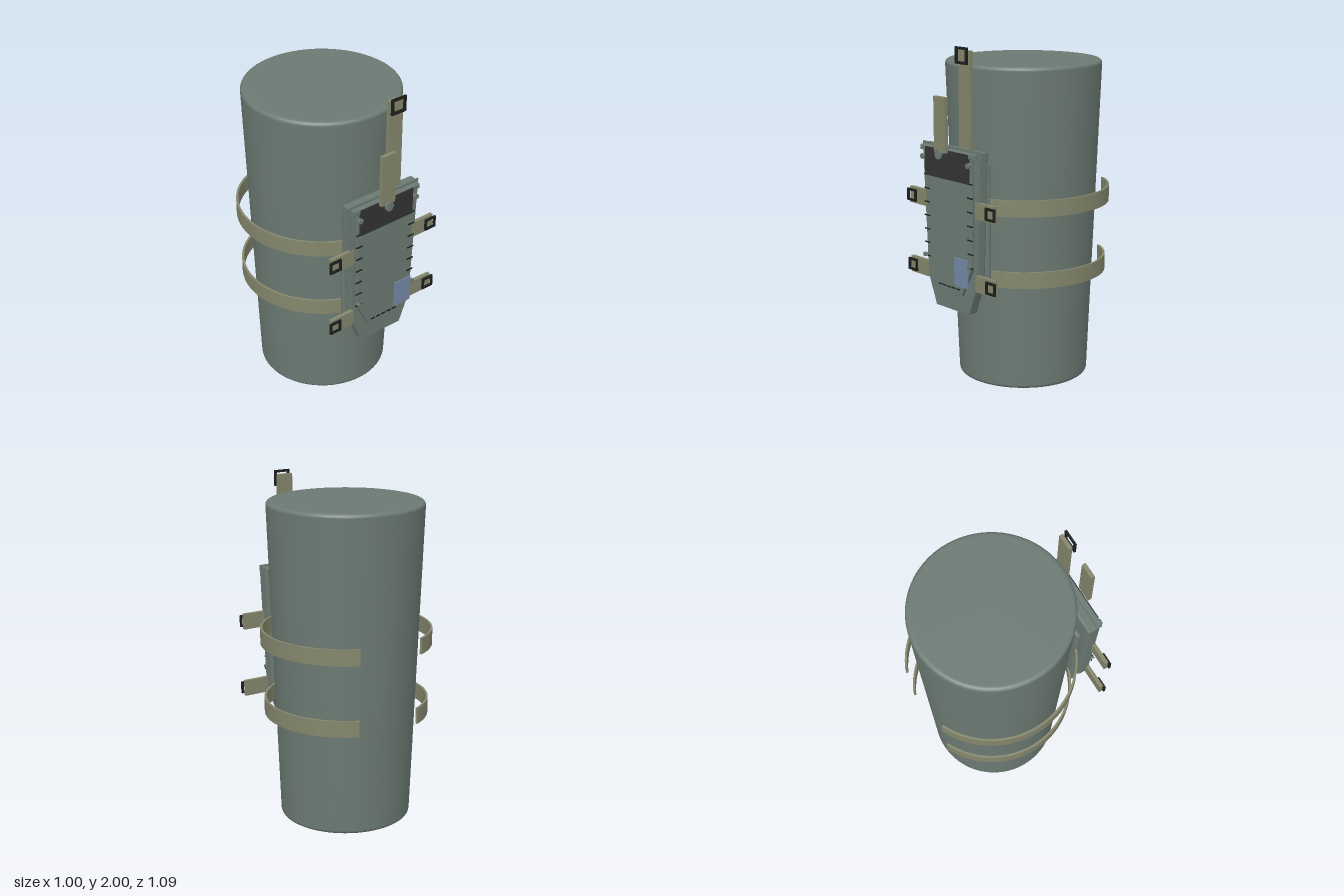
import * as THREE from 'three';

const mat = (name, color) => new THREE.MeshStandardMaterial({ name, color });

export function createModel() {
  const root = new THREE.Group();
  root.name = 'strappedContainer';
  const fabric = mat('greyGreen', 0x6c7a73);
  const webbing = mat('oliveWebbing', 0x84866c);
  const dark = mat('charcoal', 0x333333);
  const black = mat('black', 0x1c1e1c);
  const blue = mat('slateBlue', 0x7488a4);

  const add = (name, geo, material, x = 0, y = 0, z = 0) => {
    const m = new THREE.Mesh(geo, material);
    m.name = name;
    m.position.set(x, y, z);
    root.add(m);
    return m;
  };
  // Box given by its extents
  const box = (name, material, x0, x1, y0, y1, z0, z1) =>
    add(name, new THREE.BoxGeometry(x1 - x0, y1 - y0, z1 - z0), material,
      (x0 + x1) / 2, (y0 + y1) / 2, (z0 + z1) / 2);
  // Outline symmetric about x = 0, extruded from z0 to z1 with softened edges
  const plate = (name, half, z0, z1, bevel) => {
    const pts = [...half, ...half.map(([x, y]) => [-x, y]).reverse()];
    const shape = new THREE.Shape(pts.map(([x, y]) => new THREE.Vector2(x, y)));
    const geo = new THREE.ExtrudeGeometry(shape, {
      depth: z1 - z0 - 2 * bevel, bevelThickness: bevel, bevelSize: bevel,
      bevelOffset: -bevel, bevelSegments: 2,
    });
    return add(name, geo, fabric, 0, 0, z0 + bevel);
  };
  const rect = (w, h, Type = THREE.Shape) => new Type([
    [-w, -h], [w, -h], [w, h], [-w, h]].map(([x, y]) => new THREE.Vector2(x, y)));
  // Open rectangular buckle
  const buckle = (name, x, y, z, w, h, bar) => {
    const shape = rect(w / 2, h / 2);
    shape.holes.push(rect(w / 2 - bar, h / 2 - bar, THREE.Path));
    add(name, new THREE.ExtrudeGeometry(shape, { depth: 0.012, bevelEnabled: false }), black, x, y, z);
  };
  const disc = (name, x, y, z, r, depth, material = fabric) => {
    const geo = new THREE.CylinderGeometry(r, r, depth, 16);
    geo.rotateX(Math.PI / 2);
    add(name, geo, material, x, y, z);
  };

  // Tapered body with rounded rims
  const r0 = 0.385, r1 = 0.454, y0 = 0.005, y1 = 1.89, c = 0.022;
  const profile = [[0, y0], [r0 - c - 0.01, y0]];
  for (let i = 0; i <= 4; i++) {
    const a = (i / 4) * Math.PI / 2;
    profile.push([r0 - c + c * Math.sin(a), y0 + c - c * Math.cos(a)]);
  }
  for (let i = 0; i <= 4; i++) {
    const a = (i / 4) * Math.PI / 2;
    profile.push([r1 - c + c * Math.cos(a), y1 - c + c * Math.sin(a)]);
  }
  profile.push([r1 - c - 0.01, y1], [0, y1]);
  add('body', new THREE.LatheGeometry(profile.map(([x, y]) => new THREE.Vector2(x, y)), 64),
    fabric, 0, 0, -0.087);

  // Wrapping straps, open at the back
  for (const [y, r] of [[1.06, 0.5], [0.64, 0.481]]) {
    const gap = 0.43, a0 = Math.PI / 2 + gap, a1 = Math.PI * 2.5 - gap;
    const ring = new THREE.Shape();
    ring.absarc(0, 0, r, a0, a1, false);
    ring.absarc(0, 0, r - 0.013, a1, a0, true);
    const geo = new THREE.ExtrudeGeometry(ring, { depth: 0.095, bevelEnabled: false, curveSegments: 32 });
    geo.rotateX(-Math.PI / 2);
    add('wrapStrap', geo, webbing, 0, y, -0.095);
  }

  // Pad behind the pouch, pouch shell and its raised front panel
  plate('backPad', [[0.21, 0.635], [0.21, 1.35]], 0.347, 0.377, 0.01);
  plate('pouchShell', [[0.142, 0.488], [0.212, 0.655], [0.248, 1.43]], 0.397, 0.462, 0.012);
  plate('pouchRim', [[0.145, 0.485], [0.214, 0.655], [0.253, 1.44]], 0.455, 0.463, 0.001);
  plate('frontPanel', [[0.105, 0.59], [0.195, 0.765], [0.205, 1.42]], 0.462, 0.484, 0.003);
  plate('topBar', [[0.238, 1.395], [0.238, 1.425]], 0.46, 0.493, 0.004);
  box('topFlap', dark, -0.19, 0.184, 1.255, 1.42, 0.484, 0.499);
  box('tag', blue, 0.068, 0.185, 0.655, 0.82, 0.497, 0.504);

  // Side stitches, bottom stitches and snaps
  for (const s of [-1, 1]) {
    for (let i = 0; i < 7; i++) {
      const y = 0.775 + i * 0.08, x = s * 0.19;
      box('sideStitch', black, x - 0.022, x + 0.022, y - 0.003, y + 0.003, 0.484, 0.49);
    }
    disc('upperSnap', s * 0.2, 1.362, 0.508, 0.016, 0.012);
    disc('lowerSnap', s * 0.195, 0.785, 0.504, 0.013, 0.01);
    for (const y of [1.362, 0.785]) disc('snapPost', s * 0.197, y, 0.492, 0.006, 0.024);
  }
  for (let i = -2; i <= 2; i++) {
    box('bottomStitch', black, i * 0.04 - 0.014, i * 0.04 + 0.014, 0.626, 0.632, 0.484, 0.49);
  }

  // Side tabs with buckles
  for (const s of [-1, 1]) {
    for (const y of [1.107, 0.687]) {
      const a = s * 0.21, b = s * 0.372;
      box('sideTab', webbing, Math.min(a, b), Math.max(a, b), y - 0.048, y + 0.048, 0.447, 0.469);
      buckle('sideBuckle', s * 0.347, y, 0.47, 0.078, 0.072, 0.012);
    }
  }

  // Closing strap with its button, and the tall strap with its buckle
  box('closingStrap', webbing, -0.07, 0.026, 1.41, 1.722, 0.504, 0.528);
  disc('strapButton', -0.022, 1.4, 0.535, 0.028, 0.013);
  box('tallStrap', webbing, 0.045, 0.14, 1.4, 1.98, 0.417, 0.44);
  buckle('tallBuckle', 0.092, 1.953, 0.452, 0.1, 0.094, 0.014);

  return root;
}
